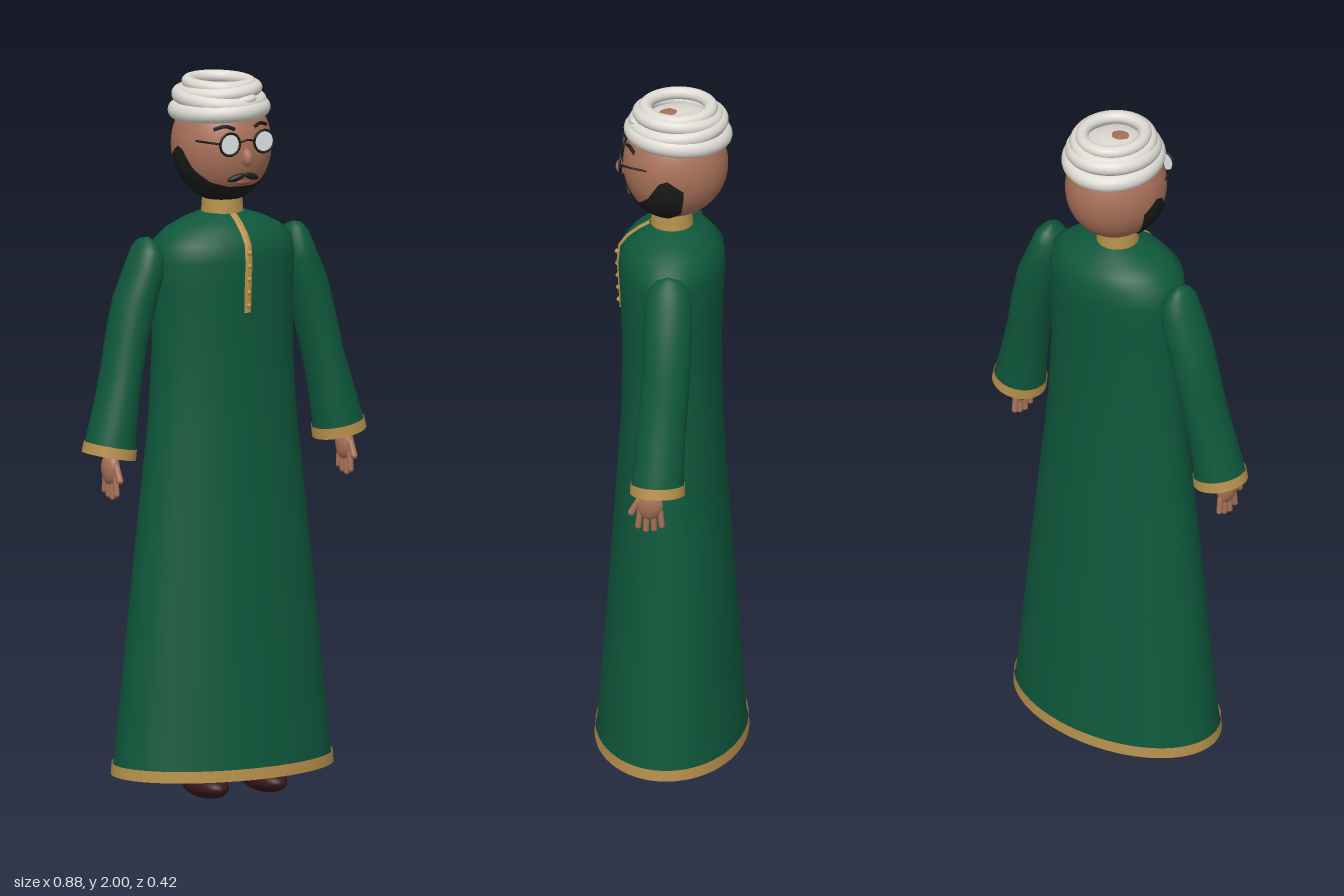
import * as THREE from 'three';

const mat = (name, color, side = THREE.FrontSide) => {
  const m = new THREE.MeshStandardMaterial({ color, side });
  m.name = name;
  return m;
};

export function createModel() {
  const green = mat('green cloth', 0x0f583c, THREE.DoubleSide);
  const gold = mat('gold trim', 0xb8914c, THREE.DoubleSide);
  const skin = mat('skin', 0xa87058);
  const black = mat('black hair', 0x1b1b1b, THREE.DoubleSide);
  const white = mat('white wrap', 0xdcdad2);
  const glass = mat('pale glass', 0xe4ecec, THREE.DoubleSide);
  const brown = mat('brown leather', 0x36191a);
  const lip = mat('lips', 0x8a4a42);

  const model = new THREE.Group();
  const add = (name, geo, material, pos = [0, 0, 0], rot = [0, 0, 0], scale = [1, 1, 1], parent = model) => {
    const m = new THREE.Mesh(geo, material);
    m.name = name;
    m.position.set(...pos);
    m.rotation.set(...rot);
    m.scale.set(...scale);
    parent.add(m);
    return m;
  };
  const ball = new THREE.SphereGeometry(1, 32, 24);
  const group = (name) => {
    const g = new THREE.Group();
    g.name = name;
    model.add(g);
    return g;
  };

  // Skin over elliptical rings [x, y, z, rx, rz, tilt], listed from bottom to top
  const loft = (rings, n = 48) => {
    const pos = [], idx = [];
    rings.forEach(([x, y, z, rx, rz, tilt = 0], i) => {
      for (let j = 0; j < n; j++) {
        const a = (j / n) * Math.PI * 2, c = Math.cos(a) * rx;
        pos.push(x + c * Math.cos(tilt), y + c * Math.sin(tilt), z + Math.sin(a) * rz);
        if (i === rings.length - 1) continue;
        const k = i * n + j, l = i * n + (j + 1) % n;
        idx.push(k, k + n, l, l, k + n, l + n);
      }
    });
    const g = new THREE.BufferGeometry();
    g.setAttribute('position', new THREE.Float32BufferAttribute(pos, 3));
    g.setIndex(idx);
    g.computeVertexNormals();
    return g;
  };

  // Robe, open at the bottom
  const robe = [[0.08, 0.326, 0.206], [0.5, 0.283, 0.175], [0.8, 0.251, 0.155], [1.05, 0.222, 0.139],
    [1.25, 0.21, 0.136], [1.42, 0.211, 0.142], [1.5, 0.213, 0.147], [1.55, 0.204, 0.142],
    [1.58, 0.17, 0.12], [1.605, 0.12, 0.09], [1.625, 0.056, 0.056]];
  add('robe', loft(robe.map(([y, rx, rz]) => [0, y, 0, rx, rz]), 64), green);
  add('hemBand', loft([[0, 0.065, 0, 0.332, 0.212], [0, 0.097, 0, 0.33, 0.21]], 64), gold);
  add('collar', new THREE.CylinderGeometry(0.055, 0.059, 0.055, 40), gold, [0, 1.643, 0]);
  add('neck', new THREE.CylinderGeometry(0.05, 0.05, 0.12, 32), skin, [0, 1.67, 0]);

  // Front placket and its buttons
  const placket = [[1.36, 0.139], [1.42, 0.142], [1.5, 0.147], [1.55, 0.142], [1.58, 0.12], [1.605, 0.09], [1.625, 0.058]];
  add('placket', loft(placket.map(([y, z]) => [0, y, z, 0.011, 0.006]), 12), gold);
  for (let i = 0; i < 5; i++) add('button', ball, gold, [0, 1.38 + i * 0.037, 0.146 + i * 0.0013], [0, 0, 0], [0.007, 0.007, 0.007]);

  // Arms, hands and shoes, mirrored
  const sleeve = [[0.364, 0.98, 0.01, 0.073, 0.073, 0.2], [0.356, 1.03, 0.009, 0.068, 0.071, 0.2],
    [0.337, 1.12, 0.004, 0.06, 0.068, 0.2], [0.319, 1.2, -0.002, 0.056, 0.067, 0.2],
    [0.298, 1.3, -0.008, 0.057, 0.067, 0.24], [0.274, 1.39, -0.01, 0.059, 0.067, 0.32],
    [0.242, 1.48, -0.01, 0.052, 0.066, 0.36], [0.231, 1.53, -0.01, 0.043, 0.056, 0.36],
    [0.23, 1.558, -0.01, 0.025, 0.035, 0.3], [0.23, 1.57, -0.01, 0.001, 0.001, 0]];
  const cuff = [[0.366, 0.972, 0.01, 0.076, 0.076, 0.2], [0.361, 1.002, 0.01, 0.074, 0.075, 0.2]];
  for (const [side, s] of [['left', 1], ['right', -1]]) {
    const flip = (rings) => loft(rings.map(([x, y, z, rx, rz, t]) => [x * s, y, z, rx, rz, t * s]), 40);
    add(side + 'Sleeve', flip(sleeve), green);
    add(side + 'Cuff', flip(cuff), gold);

    const hand = group(side + 'Hand');
    hand.position.set(0.372 * s, 0.935, 0.03);
    add('wrist', new THREE.CylinderGeometry(0.02, 0.02, 0.12, 20), skin, [-0.004 * s, 0.07, -0.004], [0, 0, 0], [1, 1, 1.2], hand);
    add('palm', ball, skin, [0, 0.005, 0], [0, 0, 0], [0.022, 0.045, 0.036], hand);
    [0.07, 0.08, 0.076, 0.066].forEach((len, i) => {
      const z = 0.027 - i * 0.018;
      add('finger', new THREE.CapsuleGeometry(0.0085, len - 0.025, 6, 12), skin,
        [0, -0.005 - len / 2, z * 1.12], [-z * 4, 0, 0], [1, 1, 1], hand);
    });
    add('thumb', new THREE.CapsuleGeometry(0.0095, 0.04, 6, 12), skin, [0, -0.004, 0.042], [-0.5, 0, 0], [1, 1, 1], hand);

    add(side + 'Shoe', ball, brown, [0.093 * s, 0.034, 0.07], [0, 0, 0], [0.05, 0.034, 0.095]);
  }

  // Head: an ellipsoid slightly deeper behind than in front
  const headGeo = new THREE.SphereGeometry(1, 48, 32);
  const hp = headGeo.attributes.position;
  for (let i = 0; i < hp.count; i++) {
    const z = hp.getZ(i);
    hp.setXYZ(i, hp.getX(i) * 0.137, hp.getY(i) * 0.155, z * (z > 0 ? 0.135 : 0.155));
  }
  headGeo.computeVertexNormals();
  add('head', headGeo, skin, [0, 1.81, 0]);
  const onHead = (a, y, k) => {
    const t = (y - 1.81) / 0.155, r = Math.sqrt(Math.max(0, 1 - t * t)) * k, c = Math.cos(a);
    return new THREE.Vector3(0.137 * r * Math.sin(a), 1.81 + (y - 1.81) * k, (c > 0 ? 0.135 : 0.155) * r * c);
  };

  // Beard: a patch wrapped over the jaw up to the sideburns
  const edge = [[0, 1.712], [20, 1.712], [45, 1.725], [65, 1.757], [80, 1.81], [90, 1.818], [106, 1.785]];
  const topAt = (d) => {
    const i = Math.max(1, edge.findIndex(([e]) => e >= d - 1e-6));
    const [[d0, y0], [d1, y1]] = [edge[i - 1], edge[i]];
    return y0 + (y1 - y0) * (d - d0) / (d1 - d0);
  };
  const beard = new THREE.PlaneGeometry(2, 1, 64, 20);
  const bp = beard.attributes.position;
  for (let i = 0; i < bp.count; i++) {
    const d = bp.getX(i) * 106, v = bp.getY(i) + 0.5, ad = Math.min(106, Math.abs(d));
    const low = 1.656 + Math.max(0, ad - 75) * 0.0014;
    const p = onHead(THREE.MathUtils.degToRad(d), low + (topAt(ad) - low) * v * (2 - v) * (0.5 + v * 0.5), 1.035);
    bp.setXYZ(i, p.x, p.y, p.z);
  }
  beard.computeVertexNormals();
  add('beard', beard, black);

  // Face
  add('nose', ball, skin, [0, 1.793, 0.135], [-0.25, 0, 0], [0.015, 0.025, 0.02]);
  add('mouth', ball, lip, [0, 1.721, 0.118], [0, 0, 0], [0.022, 0.007, 0.008]);
  const rod = (name, pts, r) => add(name,
    new THREE.TubeGeometry(new THREE.CatmullRomCurve3(pts.map((p) => new THREE.Vector3(...p))), 16, r, 8), black);
  for (const s of [1, -1]) {
    add('moustache', ball, black, [0.024 * s, 1.736, 0.12], [0, 0.25 * s, -0.3 * s], [0.027, 0.009, 0.009]);
    rod('eyebrow', [[0.03 * s, 1.872, 0.121], [0.055 * s, 1.881, 0.113], [0.083 * s, 1.872, 0.096]], 0.005);
    add('lens', new THREE.CircleGeometry(0.03, 32), glass, [0.054 * s, 1.834, 0.137]);
    add('lensFrame', new THREE.TorusGeometry(0.031, 0.0035, 10, 40), black, [0.054 * s, 1.834, 0.137]);
    rod('templeArm', [[0.085 * s, 1.838, 0.137], [0.104 * s, 1.839, 0.105], [0.118 * s, 1.838, 0.06]], 0.003);
  }
  rod('glassesBridge', [[-0.024, 1.837, 0.138], [0, 1.843, 0.141], [0.024, 1.837, 0.138]], 0.003);

  // Turban: tilted stacked coils [height, radius, thickness, tilt x, tilt z] over a low cap
  const turban = group('turban');
  [[1.907, 0.112, 0.027, -0.06, 0.02], [1.938, 0.106, 0.023, 0.05, -0.05],
    [1.96, 0.097, 0.02, -0.04, 0.05], [1.979, 0.084, 0.0175, 0.01, -0.02]].forEach(([y, r, t, tx, tz]) =>
    add('coil', new THREE.TorusGeometry(r, t, 18, 64), white, [0, y, -0.017], [Math.PI / 2 + tx, tz, 0], [1, 1.08, 1], turban));
  add('cap', ball, white, [0, 1.92, -0.02], [0, 0, 0], [0.115, 0.0445, 0.12], turban);
  add('tuck', ball, white, [0.012, 1.945, 0.098], [0, 0, 0.15], [0.04, 0.015, 0.02], turban);

  return model;
}
